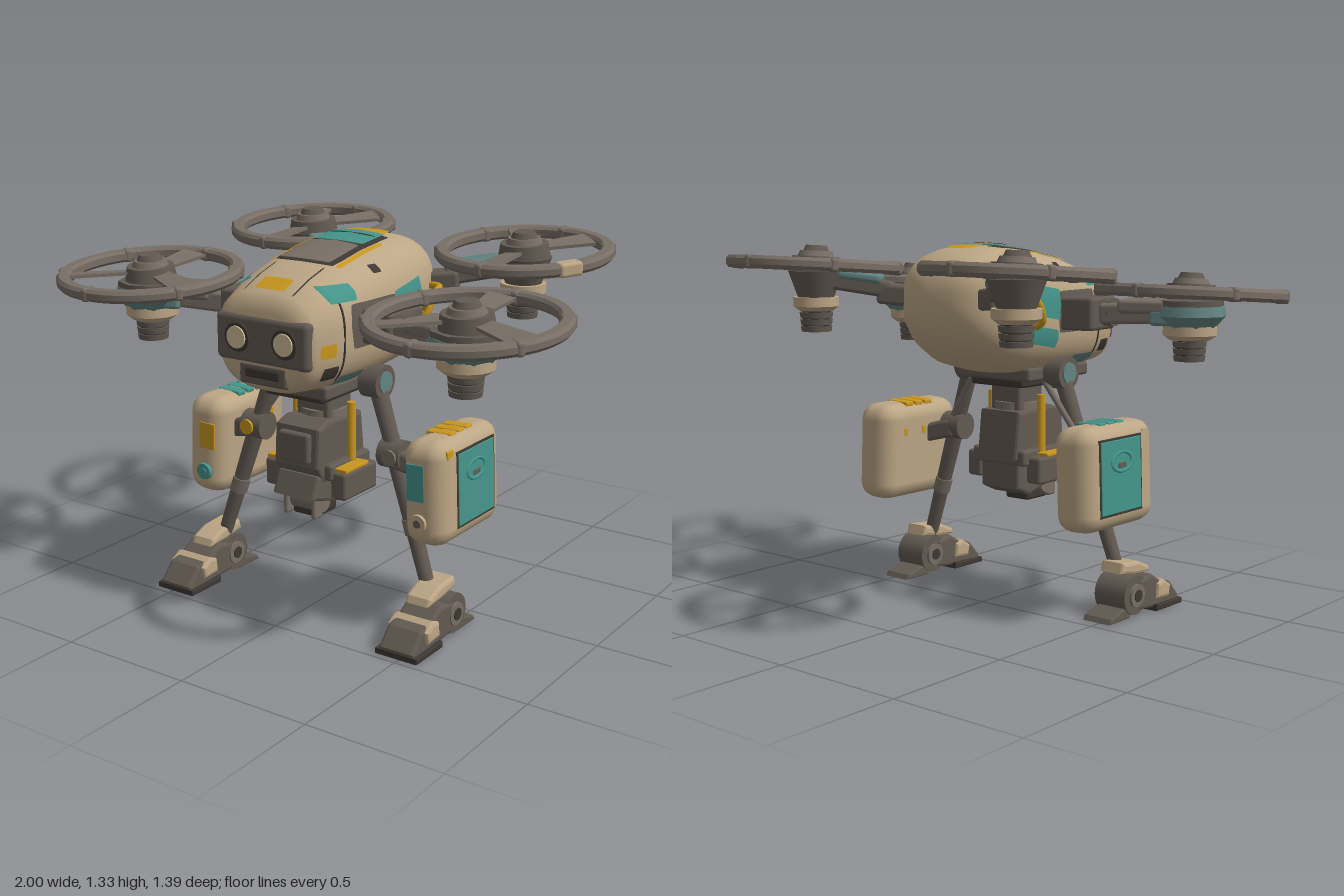
import * as THREE from 'three';
import { toCreasedNormals, mergeVertices } from 'three/addons/utils/BufferGeometryUtils.js';
import { RoundedBoxGeometry } from 'three/addons/geometries/RoundedBoxGeometry.js';

const paint = (name, color) => Object.assign(new THREE.MeshStandardMaterial({ color }), { name });
const cream = paint('cream', 0xbca685), dark = paint('darkGrey', 0x625a52), rim = paint('rimGrey', 0x786e65);
const black = paint('nearBlack', 0x3d3833), teal = paint('teal', 0x44948a), yellow = paint('yellow', 0xc8961e);
const slate = paint('slate', 0x638482), pale = paint('paleCream', 0xd0bd98);

const V = (x, y, z) => new THREE.Vector3(x, y, z);
const lerp = THREE.MathUtils.lerp;

function add(parent, name, geo, mat, x = 0, y = 0, z = 0) {
  const m = new THREE.Mesh(geo, mat);
  m.name = name;
  m.position.set(x, y, z);
  parent.add(m);
  return m;
}
const box = (p, name, mat, w, h, d, x, y, z, r = 0.012) =>
  add(p, name, new RoundedBoxGeometry(w, h, d, 2, Math.min(r, w / 2.1, h / 2.1, d / 2.1)), mat, x, y, z);
const disc = (p, name, mat, rTop, rBottom, y0, y1, seg = 28, x = 0, z = 0) =>
  add(p, name, new THREE.CylinderGeometry(rTop, rBottom, y1 - y0, seg), mat, x, (y0 + y1) / 2, z);
// cylinder lying along x
function axle(p, name, mat, r, len, x, y, z) {
  return add(p, name, new THREE.CylinderGeometry(r, r, len, 28).rotateZ(Math.PI / 2), mat, x, y, z);
}
// cylinder facing z
function dial(p, name, mat, r0, r1, len, x, y, z) {
  return add(p, name, new THREE.CylinderGeometry(r0, r1, len, 28).rotateX(Math.PI / 2), mat, x, y, z);
}
function rod(p, name, mat, a, b, r0, r1 = r0) {
  const geo = new THREE.CylinderGeometry(r1, r0, a.distanceTo(b), 16).rotateX(Math.PI / 2);
  add(p, name, geo, mat, ...a.clone().lerp(b, 0.5).toArray()).lookAt(b);
}
function beam(p, name, mat, a, b, w, h) {
  const m = new THREE.Mesh(new RoundedBoxGeometry(w, h, a.distanceTo(b), 2, 0.015), mat);
  m.name = name;
  m.position.copy(a).lerp(b, 0.5);
  m.lookAt(b);
  p.add(m);
}
// side outline in (z, y), extruded across x
function slab(p, name, mat, pts, width, x, y, z, bevel = 0.012) {
  const shape = new THREE.Shape(pts.map(q => new THREE.Vector2(...q)));
  const depth = width - 2 * bevel;
  const geo = new THREE.ExtrudeGeometry(shape, { depth, bevelSize: bevel, bevelThickness: bevel, bevelOffset: -bevel, bevelSegments: 2 });
  return add(p, name, geo.translate(0, 0, -depth / 2).rotateY(-Math.PI / 2), mat, x, y, z);
}
// sheet of quads from a rule (u, v) -> point
function sheet(nu, nv, rule) {
  const pos = [], idx = [];
  for (let i = 0; i <= nu; i++) for (let j = 0; j <= nv; j++) {
    pos.push(...rule(i / nu, j / nv, i));
    if (i < nu && j < nv) {
      const a = i * (nv + 1) + j, c = a + nv + 1;
      idx.push(a, c, a + 1, a + 1, c, c + 1);
    }
  }
  const g = new THREE.BufferGeometry();
  g.setAttribute('position', new THREE.Float32BufferAttribute(pos, 3));
  g.setIndex(idx);
  g.computeVertexNormals();
  return g;
}

// hull stations: z, half width, bottom, top
const N = 2.8;
const stations = [
  [0.545, 0, 1.03, 1.03], [0.545, 0.16, 0.92, 1.14], [0.538, 0.185, 0.89, 1.17], [0.515, 0.205, 0.865, 1.2],
  [0.42, 0.228, 0.855, 1.24], [0.3, 0.242, 0.85, 1.275], [0.15, 0.25, 0.85, 1.302], [0, 0.25, 0.862, 1.318],
  [-0.1, 0.24, 0.888, 1.316], [-0.17, 0.218, 0.93, 1.3], [-0.22, 0.185, 0.975, 1.276],
  [-0.255, 0.14, 1.03, 1.245], [-0.275, 0.085, 1.08, 1.21], [-0.285, 0, 1.15, 1.15]];
function section(z) {
  const i = Math.max(1, stations.findIndex((s, k) => k > 1 && s[0] <= z) - 1);
  const a = stations[i], b = stations[i + 1], t = (z - a[0]) / (b[0] - a[0]);
  const [w, lo, hi] = [1, 2, 3].map(k => lerp(a[k], b[k], t));
  return { w, c: (lo + hi) / 2, h: (hi - lo) / 2 };
}
const bulge = t => Math.pow(Math.max(0, 1 - Math.pow(Math.abs(t), N)), 1 / N);
const rounded = u => Math.pow(Math.max(0, 1 - Math.pow(Math.abs(2 * u - 1), 12)), 1 / 12);

// painted plates that follow the hull
function topPlate(p, name, mat, z0, z1, x0, x1, lift = 0.006, k = rounded) {
  add(p, name, sheet(24, 12, (u, v) => {
    const z = lerp(z0, z1, u), x = (x0 + x1) / 2 + (v - 0.5) * (x1 - x0) * k(u), s = section(z);
    return [x, s.c + s.h * bulge(x / s.w) + lift, z];
  }), mat);
}
function sidePlate(p, name, mat, s, z0, z1, y0, y1, slant = 0, lift = 0.006) {
  add(p, name, sheet(20, 12, (u, v) => {
    const t = s > 0 ? u : 1 - u, z = lerp(z1, z0, t), q = section(z);
    const y = (y0 + y1) / 2 + (t - 0.5) * slant + (v - 0.5) * (y1 - y0) * rounded(t);
    return [s * (q.w * bulge((y - q.c) / q.h) + lift), y, z];
  }), mat);
}

function buildBody(root) {
  const g = new THREE.Group();
  g.name = 'body';
  root.add(g);
  const hull = sheet(stations.length - 1, 72, (u, v, i) => {
    const [z, w, lo, hi] = stations[i], a = v * Math.PI * 2, c = Math.cos(a), s = Math.sin(a);
    const f = t => Math.sign(t) * Math.pow(Math.abs(t), 2 / N);
    return [w * f(c), (lo + hi) / 2 + (hi - lo) / 2 * f(s), z];
  });
  hull.deleteAttribute('normal');
  add(g, 'hull', toCreasedNormals(mergeVertices(hull, 1e-4), 0.75), cream);

  // roof hatch, badge and nose bar
  topPlate(g, 'hatchFrame', black, -0.04, 0.325, -0.122, 0.122, 0.006);
  topPlate(g, 'hatchGlass', teal, -0.032, 0.12, -0.104, 0.104, 0.011);
  topPlate(g, 'hatchCover', rim, 0.124, 0.315, -0.104, 0.104, 0.011);
  topPlate(g, 'hatchSeam', black, 0.025, 0.031, -0.1, 0.1, 0.014);
  topPlate(g, 'rearBadge', yellow, -0.145, -0.045, -0.085, 0.085, 0.007, u => Math.sqrt(1 - (1 - u) ** 2));
  topPlate(g, 'noseBar', yellow, 0.44, 0.505, -0.06, 0.06);
  for (const s of [-1, 1]) {
    topPlate(g, 'roofStripe', yellow, 0.04, 0.31, s * 0.135 - 0.009, s * 0.135 + 0.009);
    topPlate(g, 'noseSeam', black, 0.33, 0.51, s * 0.1 - 0.003, s * 0.1 + 0.003, 0.004);
    sidePlate(g, 'browPlate', teal, s, 0.32, 0.44, 1.17, 1.222);
    sidePlate(g, 'roofVent', black, s, 0.16, 0.2, 1.235, 1.26);
    sidePlate(g, 'rearWindow', teal, s, -0.04, 0.14, 1.07, 1.18, 0.03);
    sidePlate(g, 'lowerWindow', teal, s, -0.05, 0.13, 0.97, 1.035, 0.03);
    sidePlate(g, 'armSocket', dark, s, 0.12, 0.37, 1.01, 1.16);
    sidePlate(g, 'cheekMark', yellow, s, 0.44, 0.51, 1.0, 1.045);
    sidePlate(g, 'cheekGrill', black, s, 0.42, 0.49, 0.92, 0.965);
    sidePlate(g, 'sideSeam', black, s, 0.397, 0.403, 0.9, 1.2, 0, 0.004);
    sidePlate(g, 'hipPlate', slate, s, 0.26, 0.4, 0.875, 0.92);
    // grab handle
    const path = [[0.225, 1.03, -0.0], [0.285, 1.06, -0.01], [0.295, 1.13, -0.05], [0.285, 1.145, -0.1], [0.22, 1.14, -0.13]];
    const curve = new THREE.CatmullRomCurve3(path.map(q => V(s * q[0], q[1], q[2])));
    add(g, 'grabHandle', new THREE.TubeGeometry(curve, 24, 0.013, 8), yellow);
    rod(g, 'handleStrut', yellow, V(s * 0.23, 1.06, -0.07), V(s * 0.293, 1.12, -0.045), 0.01);
    // face lamps
    dial(g, 'lampRing', black, 0.05, 0.055, 0.02, s * 0.098, 1.045, 0.548);
    dial(g, 'lamp', pale, 0.038, 0.041, 0.02, s * 0.098, 1.045, 0.553);
  }
  box(g, 'visor', dark, 0.385, 0.165, 0.07, 0, 1.042, 0.518, 0.02);
  box(g, 'mouthFrame', dark, 0.2, 0.075, 0.05, 0, 0.925, 0.522);
  box(g, 'mouth', black, 0.15, 0.04, 0.03, 0, 0.93, 0.536);
  box(g, 'bellyPlate', dark, 0.34, 0.05, 0.36, 0, 0.855, 0.24);
}

function buildRotor(root, s, front) {
  const R = front ? 0.338 : 0.32, c = front ? V(s * 0.662, 1.16, 0.348) : V(s * 0.467, 1.25, -0.38);
  const g = new THREE.Group();
  g.name = front ? 'frontRotor' : 'backRotor';
  g.position.copy(c);
  root.add(g);
  const spin = new THREE.Group();
  spin.name = 'fan';
  spin.rotation.x = 0.07;
  g.add(spin);
  // guard ring
  const prof = [[-0.05, -0.012], [-0.04, -0.022], [-0.01, -0.022], [0, -0.01], [0, 0.01], [-0.01, 0.022], [-0.04, 0.022], [-0.05, 0.012], [-0.05, -0.012]];
  const ring = new THREE.LatheGeometry(prof.map(([r, y]) => new THREE.Vector2(R + r, y)), 56);
  add(spin, 'guardRing', toCreasedNormals(ring, 0.5), rim);
  for (let i = 0; i < 6; i++) {
    const a = i * Math.PI / 3 + 0.5, bumper = i === 5 && !front && s > 0;
    const clip = box(spin, 'ringClip', bumper ? cream : rim, 0.056, 0.05, bumper ? 0.09 : 0.03, Math.cos(a) * (R - 0.025), 0, -Math.sin(a) * (R - 0.025));
    clip.rotation.y = a;
  }
  // flat blades, wider at the tip
  const outline = new THREE.Shape([[0.05, -0.026], [R - 0.04, -0.056], [R - 0.03, 0.046], [0.05, 0.032]].map(q => new THREE.Vector2(...q)));
  for (const deg of front ? [98, 218, 338] : [58, 122, 270]) {
    const geo = new THREE.ExtrudeGeometry(outline, { depth: 0.012, bevelEnabled: false }).rotateX(-Math.PI / 2);
    add(spin, 'blade', geo.rotateX(0.12), rim).rotation.y = THREE.MathUtils.degToRad(deg);
  }
  disc(spin, 'hub', dark, 0.085, 0.095, -0.025, 0.03);
  disc(spin, 'hubCollar', rim, 0.058, 0.066, 0.03, 0.05);
  disc(spin, 'hubCap', dark, 0.038, 0.048, 0.05, 0.07, 12);
  // motor stack
  if (front) {
    disc(g, 'motorMount', dark, 0.12, 0.12, -0.05, -0.025, 8);
    disc(g, 'motorHousing', slate, 0.122, 0.13, -0.08, -0.045, 8);
    disc(g, 'motorHousingLower', slate, 0.13, 0.095, -0.12, -0.08, 8);
  } else disc(g, 'motorHousing', dark, 0.1, 0.066, -0.115, -0.02);
  const r = front ? 0.095 : 0.083;
  disc(g, 'motorCollar', cream, r, r, -0.148, -0.115);
  disc(g, 'motorCollarTaper', cream, r, r - 0.022, -0.165, -0.148);
  for (let i = 0; i < 3; i++) disc(g, 'coolingRib', dark, 0.061 - i * 0.002, 0.058 - i * 0.002, -0.19 - i * 0.025, -0.17 - i * 0.025);
  disc(g, 'motorCore', black, 0.052, 0.05, -0.235, -0.15);
  // arm back to the body
  if (front) {
    beam(root, 'armRoot', dark, V(s * 0.2, 1.08, 0.22), V(s * 0.37, 1.08, 0.24), 0.18, 0.12);
    beam(root, 'frontArm', rim, V(s * 0.36, 1.08, 0.25), V(s * 0.58, 1.09, 0.31), 0.12, 0.075);
    axle(root, 'armJoint', dark, 0.05, 0.05, s * 0.385, 1.085, 0.25);
    beam(root, 'armBracket', rim, V(s * 0.43, 1.11, 0.265), V(s * 0.6, 1.11, 0.32), 0.15, 0.05);
    beam(root, 'bracketShell', slate, V(s * 0.54, 1.075, 0.3), V(s * 0.64, 1.075, 0.335), 0.15, 0.06);
  } else {
    beam(root, 'armRoot', dark, V(s * 0.17, 1.14, -0.17), V(s * 0.29, 1.15, -0.23), 0.1, 0.075);
    beam(root, 'backArm', dark, V(s * 0.24, 1.16, -0.21), V(s * 0.45, 1.2, -0.365), 0.08, 0.06);
    beam(root, 'armCover', slate, V(s * 0.27, 1.2, -0.235), V(s * 0.4, 1.222, -0.33), 0.1, 0.035);
  }
}

function buildLeg(root, s) {
  const g = new THREE.Group();
  g.name = s > 0 ? 'leftLeg' : 'rightLeg';
  root.add(g);
  const hip = V(s * 0.215, 0.86, 0.19), knee = V(s * 0.3, 0.615, 0.2), ankle = V(s * 0.465, 0.13, 0.22);
  axle(g, 'hipJoint', dark, 0.06, 0.075, ...hip.toArray());
  axle(g, 'hipCap', slate, 0.038, 0.085, ...hip.toArray());
  rod(g, 'upperLeg', dark, hip, knee, 0.032, 0.028);
  rod(g, 'thighPiston', rim, V(s * 0.17, 0.83, 0.15), V(s * 0.29, 0.66, 0.17), 0.012);
  axle(g, 'kneeJoint', dark, 0.052, 0.09, ...knee.toArray());
  dial(g, 'kneeDisc', s < 0 ? yellow : rim, 0.028, 0.028, 0.01, s * 0.31, 0.615, 0.255);
  rod(g, 'lowerLeg', dark, knee, ankle, 0.032, 0.025);
  const mid = knee.clone().lerp(ankle, 0.45);
  rod(g, 'shinSleeve', rim, mid, mid.clone().lerp(ankle, 0.2), 0.034);
  beam(g, 'podMount', dark, V(s * 0.3, 0.61, 0.2), V(s * 0.42, 0.58, 0.17), 0.1, 0.07);

  // foot
  const x = s * 0.488;
  axle(g, 'ankleWheel', dark, 0.072, 0.13, x, 0.08, 0.2);
  axle(g, 'ankleRing', rim, 0.042, 0.15, x, 0.08, 0.2);
  axle(g, 'anklePin', black, 0.022, 0.158, x, 0.08, 0.2);
  slab(g, 'toe', dark, [[0.22, 0.02], [0.47, 0], [0.475, 0.03], [0.42, 0.09], [0.36, 0.105], [0.3, 0.14], [0.22, 0.13]], 0.14, x, 0, 0);
  slab(g, 'sole', black, [[0.31, 0], [0.475, 0], [0.475, 0.02], [0.31, 0.025]], 0.17, x, 0, 0, 0.005);
  slab(g, 'toeCap', cream, [[0.32, 0.045], [0.395, 0.04], [0.405, 0.085], [0.36, 0.112], [0.325, 0.1]], 0.165, x, 0, 0);
  slab(g, 'heel', dark, [[0.05, 0], [0.17, 0], [0.2, 0.05], [0.14, 0.04], [0.06, 0.018]], 0.12, x, 0, 0, 0.006);
  slab(g, 'ankleGuard', cream, [[0.15, 0.16], [0.24, 0.145], [0.33, 0.14], [0.32, 0.165], [0.26, 0.19], [0.16, 0.198]], 0.1, x - s * 0.01, 0, 0);

  // side cargo pod, leaning with the leg
  const pod = new THREE.Group();
  pod.name = s > 0 ? 'leftPod' : 'rightPod';
  pod.position.set(s * 0.475, 0.525, 0.105);
  pod.rotation.z = s * 0.04;
  g.add(pod);
  box(pod, 'podShell', cream, 0.168, 0.372, 0.41, 0, 0, 0, 0.062);
  box(pod, 'panelFrame', black, 0.006, 0.272, 0.252, s * 0.083, 0.005, -0.018, 0.002);
  box(pod, 'sidePanel', teal, 0.008, 0.256, 0.236, s * 0.085, 0.005, -0.018, 0.003);
  const loop = add(pod, 'panelHandle', new THREE.TorusGeometry(0.034, 0.006, 8, 28).scale(1.7, 1, 1).rotateY(Math.PI / 2), teal, s * 0.088, 0.055, -0.015);
  box(loop, 'handleLatch', dark, 0.008, 0.018, 0.045, 0, -0.012, 0, 0.003);
  for (let i = 0; i < 3; i++) box(pod, 'lidRidge', s > 0 ? yellow : teal, 0.1, 0.02, 0.042, -s * 0.01, 0.18, -0.055 + i * 0.052, 0.006);
  box(pod, 'lidLatch', s > 0 ? yellow : cream, 0.012, 0.03, 0.04, s * 0.076, 0.14, 0.14, 0.004);
  for (const z of [-0.1, 0]) box(pod, 'innerMark', yellow, 0.008, 0.03, 0.02, -s * 0.082, 0.08, z, 0.003);
  // front markings
  box(pod, 'frontPanel', s > 0 ? teal : yellow, 0.07, s > 0 ? 0.13 : 0.1, 0.008, -s * 0.02, 0.045, 0.203, 0.003);
  dial(pod, 'frontPort', s > 0 ? cream : teal, 0.03, 0.034, 0.024, -s * 0.01, -0.095, 0.203);
  dial(pod, 'portCore', s > 0 ? dark : teal, 0.014, 0.014, 0.006, -s * 0.01, -0.095, 0.216);
}

function buildGimbal(root) {
  const g = new THREE.Group();
  g.name = 'sensorGimbal';
  root.add(g);
  box(g, 'mountPlate', black, 0.25, 0.035, 0.3, 0, 0.82, 0.23);
  box(g, 'neck', dark, 0.14, 0.12, 0.14, 0, 0.75, 0.2);
  disc(g, 'swivel', rim, 0.085, 0.085, 0.705, 0.74, 24, 0, 0.2);
  slab(g, 'housing', dark, [[0.08, 0.53], [0.33, 0.5], [0.37, 0.56], [0.36, 0.7], [0.3, 0.72], [0.1, 0.71]], 0.19, 0, 0, 0);
  box(g, 'facePlate', dark, 0.13, 0.11, 0.03, 0, 0.63, 0.372);
  box(g, 'tray', dark, 0.25, 0.06, 0.24, 0, 0.54, 0.21);
  slab(g, 'chin', dark, [[0.1, 0.42], [0.17, 0.39], [0.32, 0.43], [0.39, 0.45], [0.36, 0.53], [0.1, 0.54]], 0.18, 0, 0, 0);
  box(g, 'tip', black, 0.11, 0.07, 0.12, 0, 0.395, 0.26);
  axle(g, 'lensBarrel', rim, 0.04, 0.14, 0, 0.42, 0.3);
  for (const s of [-1, 1]) {
    rod(g, 'guideRod', yellow, V(s * 0.118, 0.52, 0.2), V(s * 0.118, 0.77, 0.2), 0.016);
    box(g, 'sideBlock', dark, 0.065, 0.1, 0.2, s * 0.142, 0.495, 0.22);
    box(g, 'sideStripe', yellow, 0.06, 0.014, 0.14, s * 0.142, 0.55, 0.24, 0.004);
    box(g, 'chinFin', rim, 0.02, 0.09, 0.05, s * 0.06, 0.41, 0.33);
  }
}

export function createModel() {
  const root = new THREE.Group();
  root.name = 'walkerDrone';
  buildBody(root);
  buildGimbal(root);
  for (const s of [-1, 1]) {
    buildRotor(root, s, true);
    buildRotor(root, s, false);
    buildLeg(root, s);
  }
  return root;
}
